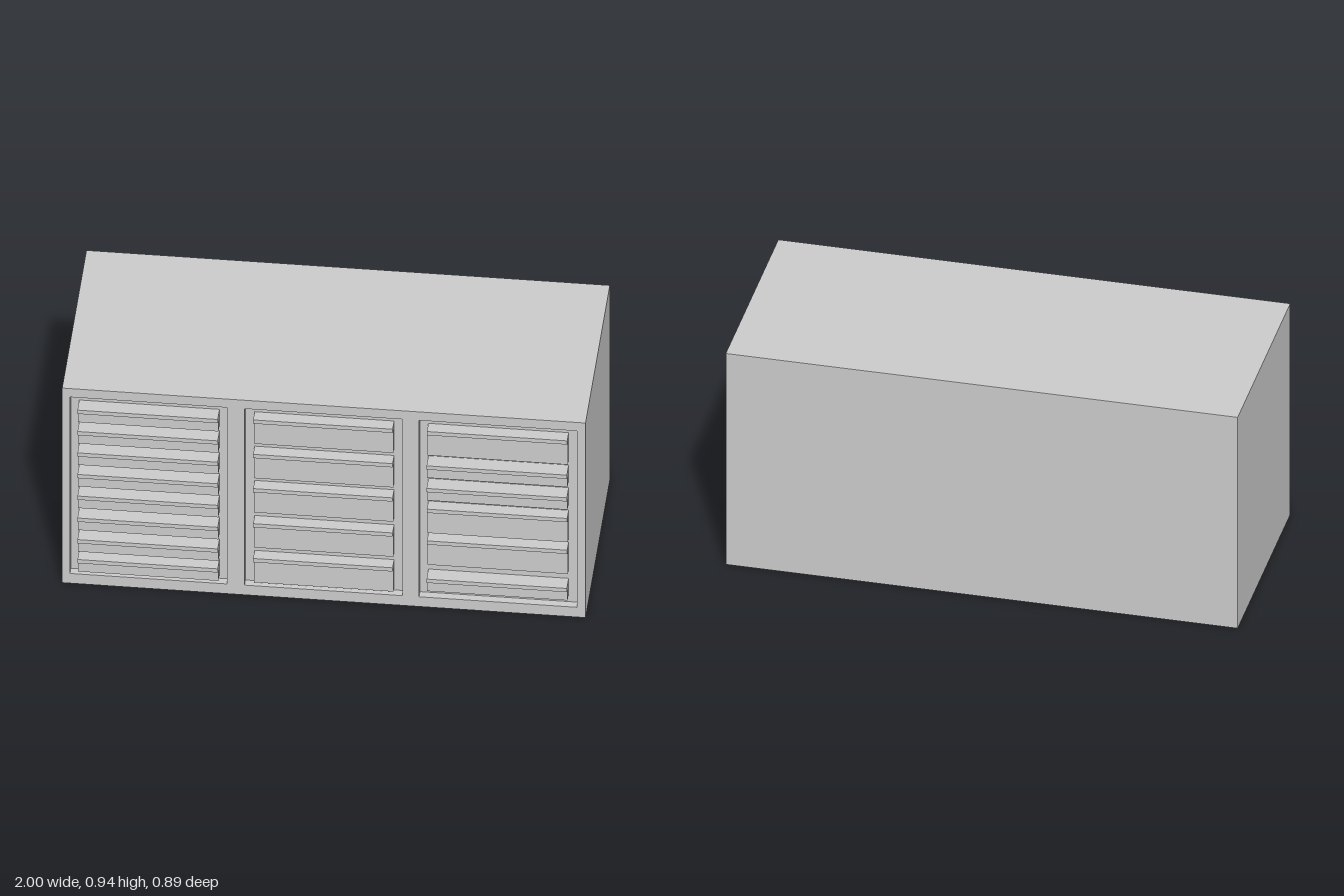
import * as THREE from 'three';

const MAT = new THREE.MeshStandardMaterial({ color: 0xcccccc });
const H = 0.938, BACK = -0.443, FRONT = 0.412, RECESS = 0.38;
const BOTTOM = 0.047, TOP = 0.897, LIP = 0.018;

function block(name, x0, x1, y0, y1, z0, z1) {
  const mesh = new THREE.Mesh(new THREE.BoxGeometry(x1 - x0, y1 - y0, z1 - z0), MAT);
  mesh.position.set((x0 + x1) / 2, (y0 + y1) / 2, (z0 + z1) / 2);
  mesh.name = name;
  return mesh;
}

function rectangle(path, x0, x1, y0, y1) {
  path.moveTo(x0, y0);
  path.lineTo(x1, y0);
  path.lineTo(x1, y1);
  path.lineTo(x0, y1);
  path.closePath();
  return path;
}

// Shallow drawers stand proud of the frame, deep ones sit flush with it
function drawer(x0, x1, top, deep) {
  const group = new THREE.Group();
  group.name = deep ? 'deepDrawer' : 'shallowDrawer';
  const height = deep ? 0.131 : 0.074;
  const face = deep ? 0.41 : 0.422;
  group.add(block('drawerFront', x0, x1, top - height, top - LIP, RECESS, face));
  group.add(block('drawerHandle', x0, x1, top - LIP, top, RECESS, deep ? 0.431 : 0.443));
  return group;
}

// Each column: recess sides, drawer sides, and [top, deep] for every drawer
const COLUMNS = [
  { name: 'rightColumn', recess: [-0.97, -0.37], sides: [-0.938, -0.402],
    drawers: [0.861, 0.758, 0.655, 0.551, 0.447, 0.341, 0.237, 0.141].map((y) => [y, false]) },
  { name: 'middleColumn', recess: [-0.303, 0.3], sides: [-0.268, 0.265],
    drawers: [0.861, 0.695, 0.53, 0.361, 0.193].map((y) => [y, true]) },
  { name: 'leftColumn', recess: [0.364, 0.968], sides: [0.396, 0.932],
    drawers: [[0.861, true], [0.705, false], [0.596, false], [0.487, true], [0.334, true], [0.159, false]] },
];

export function createModel() {
  const model = new THREE.Group();
  model.name = 'drawerCabinet';

  // Cabinet body behind the recesses
  model.add(block('cabinetBody', -1, 1, 0, H, BACK, RECESS));

  // Front frame with an opening for each column
  const shape = rectangle(new THREE.Shape(), -1, 1, 0, H);
  for (const { recess } of COLUMNS) {
    shape.holes.push(rectangle(new THREE.Path(), ...recess, BOTTOM, TOP));
  }
  const frame = new THREE.Mesh(
    new THREE.ExtrudeGeometry(shape, { depth: FRONT - RECESS, bevelEnabled: false }), MAT);
  frame.position.z = RECESS;
  frame.name = 'frontFrame';
  model.add(frame);

  // Drawers
  for (const { name, sides, drawers } of COLUMNS) {
    const column = new THREE.Group();
    column.name = name;
    for (const [top, deep] of drawers) column.add(drawer(...sides, top, deep));
    model.add(column);
  }
  return model;
}
